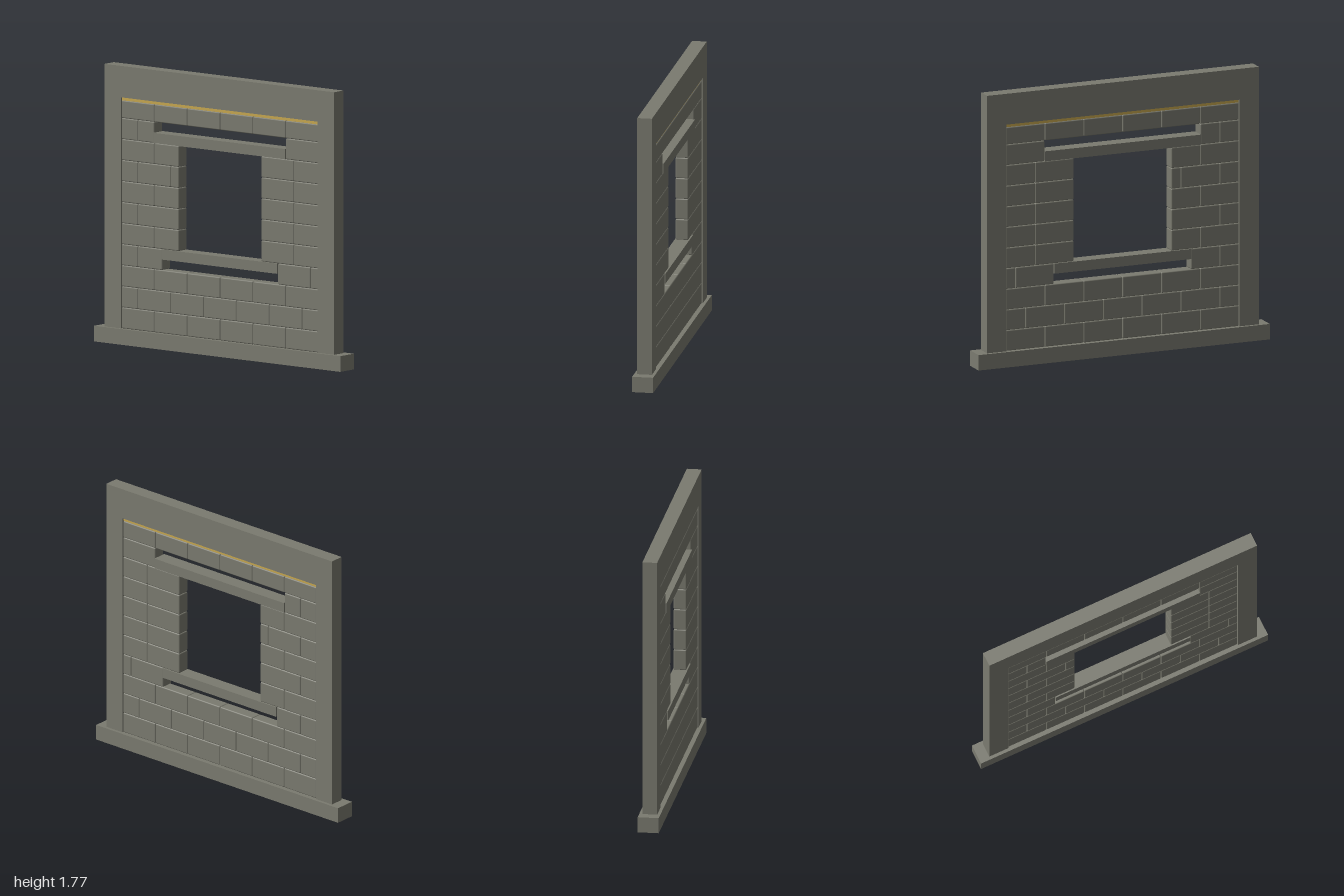
import * as THREE from 'three';
import { RoundedBoxGeometry } from 'three/addons/geometries/RoundedBoxGeometry.js';

export function createModel() {
  const model = new THREE.Group();
  model.name = 'windowWall';

  const stone = new THREE.MeshStandardMaterial({ color: 0x7b7b70 });
  stone.name = 'greyStone';
  const gold = new THREE.MeshStandardMaterial({ color: 0xc8a850 });
  gold.name = 'goldStrip';

  // Box given by its x and y limits, centred on z
  function block(name, x0, x1, y0, y1, depth, material = stone, bevel = 0, parent = model) {
    const w = x1 - x0, h = y1 - y0;
    const geometry = bevel
      ? new RoundedBoxGeometry(w, h, depth, 1, bevel)
      : new THREE.BoxGeometry(w, h, depth);
    const mesh = new THREE.Mesh(geometry, material);
    mesh.name = name;
    mesh.position.set((x0 + x1) / 2, (y0 + y1) / 2, 0);
    parent.add(mesh);
  }

  // Frame
  block('basePlinth', -1, 1, 0, 0.1, 0.134);
  block('rightPost', -0.933, -0.8, 0.1, 1.57, 0.094);
  block('leftPost', 0.8, 0.933, 0.1, 1.57, 0.094);
  block('topBeam', -0.933, 0.933, 1.57, 1.77, 0.094);
  block('goldTrim', -0.8, 0.8, 1.55, 1.57, 0.07, gold);

  // Window sill and lintel
  block('windowSill', -0.47, 0.47, 0.57, 0.635, 0.094);
  block('windowLintel', -0.535, 0.535, 1.305, 1.37, 0.094);

  // Brick courses from the bottom up; each run lists its joints from -x to +x
  const even = [-0.8, -0.533, -0.267, 0, 0.267, 0.533, 0.8];
  const odd = [-0.8, -0.667, -0.4, -0.133, 0.133, 0.4, 0.667, 0.8];
  const rightJamb = [0.335, 0.6, 0.8];
  const courses = [
    [even],
    [odd],
    [even],
    [[-0.8, -0.667, -0.47], [0.47, 0.735, 0.8]],
    [[-0.8, -0.533, -0.335], rightJamb],
    [[-0.8, -0.667, -0.335], rightJamb],
    [[-0.8, -0.533, -0.335], rightJamb],
    [[-0.8, -0.667, -0.4, -0.335], rightJamb],
    [[-0.8, -0.533, -0.335], rightJamb],
    [[-0.8, -0.667, -0.535], [0.535, 0.8]],
    [even],
  ];
  const pitch = 0.1338;
  const bricks = new THREE.Group();
  bricks.name = 'bricks';
  model.add(bricks);
  courses.forEach((runs, row) => {
    const y0 = 0.1 + row * pitch;
    const y1 = Math.min(y0 + pitch, 1.55);
    for (const joints of runs) {
      for (let i = 0; i + 1 < joints.length; i++) {
        block('brick', joints[i], joints[i + 1], y0, y1, 0.082, stone, 0.007, bricks);
      }
    }
  });

  return model;
}
